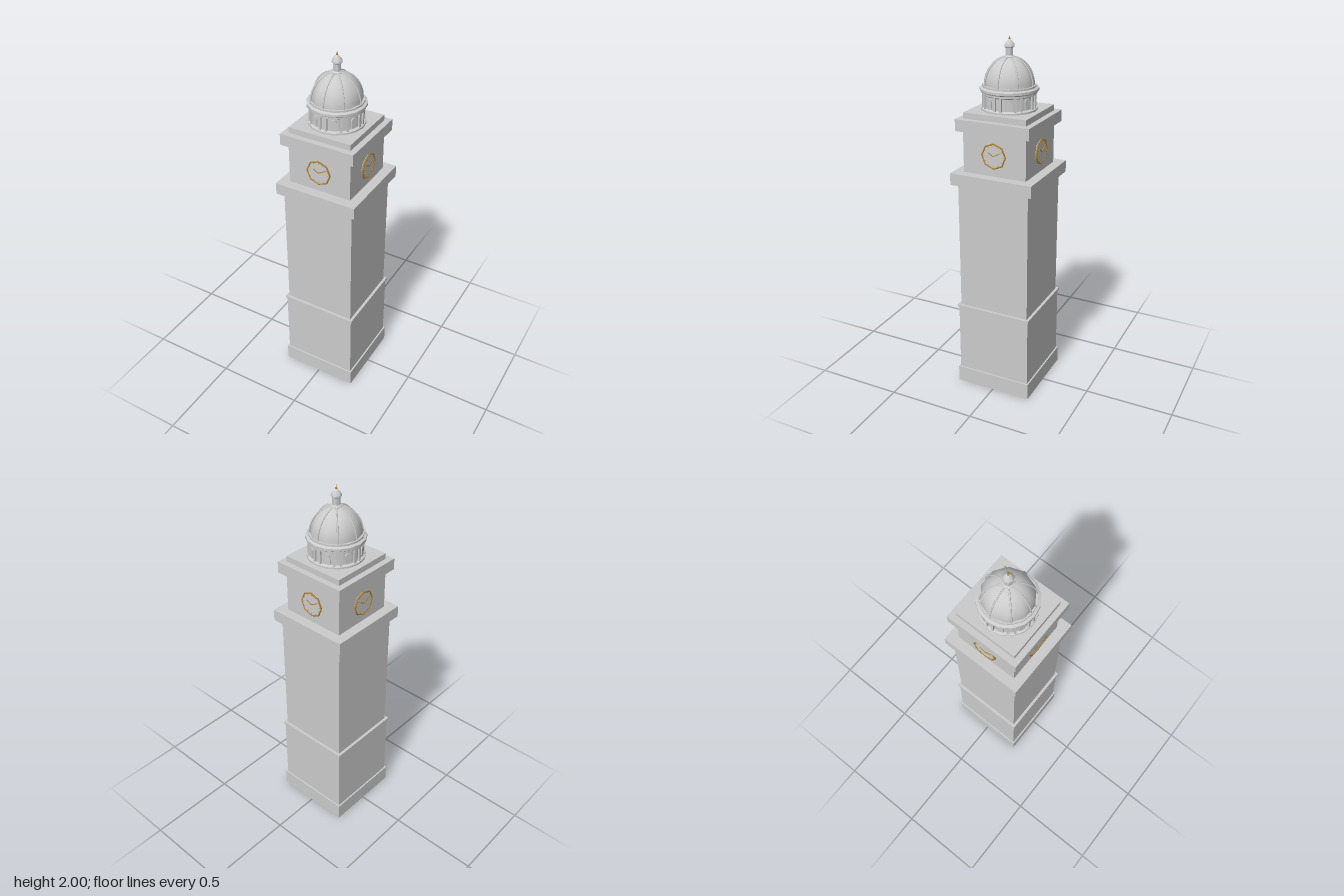
import * as THREE from 'three';
import { toCreasedNormals } from 'three/addons/utils/BufferGeometryUtils.js';

const grey = new THREE.MeshStandardMaterial({ color: 0xcccccc, side: THREE.DoubleSide });
const gold = new THREE.MeshStandardMaterial({ color: 0xb8862e });

function add(parent, name, geometry, material = grey) {
  const mesh = new THREE.Mesh(geometry, material);
  mesh.name = name;
  parent.add(mesh);
  return mesh;
}

// Square block given by half width and its bottom and top heights
function block(parent, name, half, y0, y1) {
  add(parent, name, new THREE.BoxGeometry(half * 2, y1 - y0, half * 2)).position.y = (y0 + y1) / 2;
}

// Turned part from [radius, height] pairs
function turned(parent, name, profile, sides, crease = 0.7) {
  const points = profile.map(([r, y]) => new THREE.Vector2(r, y));
  return add(parent, name, toCreasedNormals(new THREE.LatheGeometry(points, sides), crease));
}

// One clock, facing +z, with octagonal face, gilt rim and hands
function makeClock() {
  const clock = new THREE.Group();
  clock.name = 'clock';
  const face = add(clock, 'clockFace', new THREE.CylinderGeometry(0.067, 0.067, 0.01, 8));
  face.rotation.x = Math.PI / 2;
  add(clock, 'clockRim', new THREE.TorusGeometry(0.067, 0.0045, 6, 8), gold).position.z = 0.004;
  for (const [name, length, angle] of [['hourHand', 0.035, 1.05], ['minuteHand', 0.048, -1.05]]) {
    const hand = add(clock, name, new THREE.BoxGeometry(0.004, length, 0.003).translate(0, length / 2, 0), gold);
    hand.position.z = 0.007;
    hand.rotation.z = angle;
  }
  // Hour marks
  for (let i = 0; i < 12; i++) {
    const mark = add(clock, 'hourMark', new THREE.BoxGeometry(0.002, 0.007, 0.002).translate(0, 0.055, 0), gold);
    mark.position.z = 0.0055;
    mark.rotation.z = (i * Math.PI) / 6;
  }
  return clock;
}

// Arched panel standing on its sill, facing +z
function archGeometry(width, height, depth) {
  const r = width / 2;
  const shape = new THREE.Shape();
  shape.moveTo(-r, 0);
  shape.lineTo(r, 0);
  shape.lineTo(r, height - r);
  shape.absarc(0, height - r, r, 0, Math.PI, false);
  shape.closePath();
  return new THREE.ExtrudeGeometry(shape, { depth, bevelEnabled: false, curveSegments: 6 });
}

export function createModel() {
  const tower = new THREE.Group();
  tower.name = 'clockTower';

  // Square shaft
  block(tower, 'plinth', 0.222, 0, 0.095);
  block(tower, 'lowerShaft', 0.213, 0.095, 0.495);
  block(tower, 'stringCourse', 0.22, 0.495, 0.508);
  block(tower, 'upperShaft', 0.204, 0.508, 1.235);
  block(tower, 'mainCornice', 0.234, 1.235, 1.3);
  block(tower, 'clockStage', 0.18, 1.3, 1.527);
  block(tower, 'upperCornice', 0.21, 1.527, 1.59);
  block(tower, 'roofStep', 0.178, 1.59, 1.622);

  // Clocks on all four sides
  for (let i = 0; i < 4; i++) {
    const side = new THREE.Group();
    side.name = 'clockSide';
    const clock = makeClock();
    clock.position.set(0, 1.412, 0.183);
    side.add(clock);
    side.rotation.y = (i * Math.PI) / 2;
    tower.add(side);
  }

  // Drum with mouldings
  turned(tower, 'drumBase', [[0, 1.62], [0.15, 1.62], [0.15, 1.631], [0.14, 1.637], [0, 1.637]], 16);
  turned(tower, 'drum', [[0.136, 1.63], [0.136, 1.712]], 16);
  turned(tower, 'drumCornice', [[0.136, 1.7], [0.146, 1.706], [0.146, 1.716], [0.155, 1.722],
    [0.155, 1.735], [0.141, 1.741], [0.141, 1.75], [0, 1.75]], 16);

  // Windows and paired pilasters around the drum
  for (let i = 0; i < 8; i++) {
    const bay = new THREE.Group();
    bay.name = 'drumBay';
    bay.rotation.y = ((i + 0.5) * Math.PI) / 4;
    add(bay, 'archedWindow', archGeometry(0.032, 0.056, 0.007)).position.set(0, 1.642, 0.133);
    tower.add(bay);
    for (const offset of [-0.12, 0.12]) {
      const holder = new THREE.Group();
      holder.name = 'pilasterMount';
      holder.rotation.y = (i * Math.PI) / 4 + offset;
      add(holder, 'pilaster', new THREE.BoxGeometry(0.012, 0.076, 0.012)).position.set(0, 1.67, 0.138);
      tower.add(holder);
    }
  }

  // Dome with eight ribs
  const domeRadius = 0.134, domeBase = 1.745, domeHeight = 0.148;
  const arc = (scale) => Array.from({ length: 13 }, (_, i) => {
    const a = (i / 12) * Math.PI / 2;
    return [Math.cos(a) * domeRadius * scale, domeBase + Math.sin(a) * domeHeight * scale];
  });
  const dome = turned(tower, 'dome', arc(1), 10, 1.2);
  dome.rotation.y = Math.PI / 2;
  const ribCurve = new THREE.CatmullRomCurve3(arc(1).slice(0, 12).map(([r, y]) => new THREE.Vector3(r, y, 0)));
  const ribGeometry = new THREE.TubeGeometry(ribCurve, 16, 0.004, 6);
  for (let i = 0; i < 8; i++) add(tower, 'domeRib', ribGeometry).rotation.y = (i * Math.PI) / 4;

  // Lantern and finial
  turned(tower, 'lantern', [[0.03, 1.885], [0.03, 1.893], [0.02, 1.899], [0.02, 1.937], [0.028, 1.942],
    [0.028, 1.95], [0.021, 1.962], [0.011, 1.973], [0.004, 1.979], [0, 1.98]], 8);
  add(tower, 'finialBall', new THREE.SphereGeometry(0.006, 10, 8), gold).position.y = 1.982;
  add(tower, 'finialSpike', new THREE.ConeGeometry(0.003, 0.016, 8), gold).position.y = 1.992;

  return tower;
}
